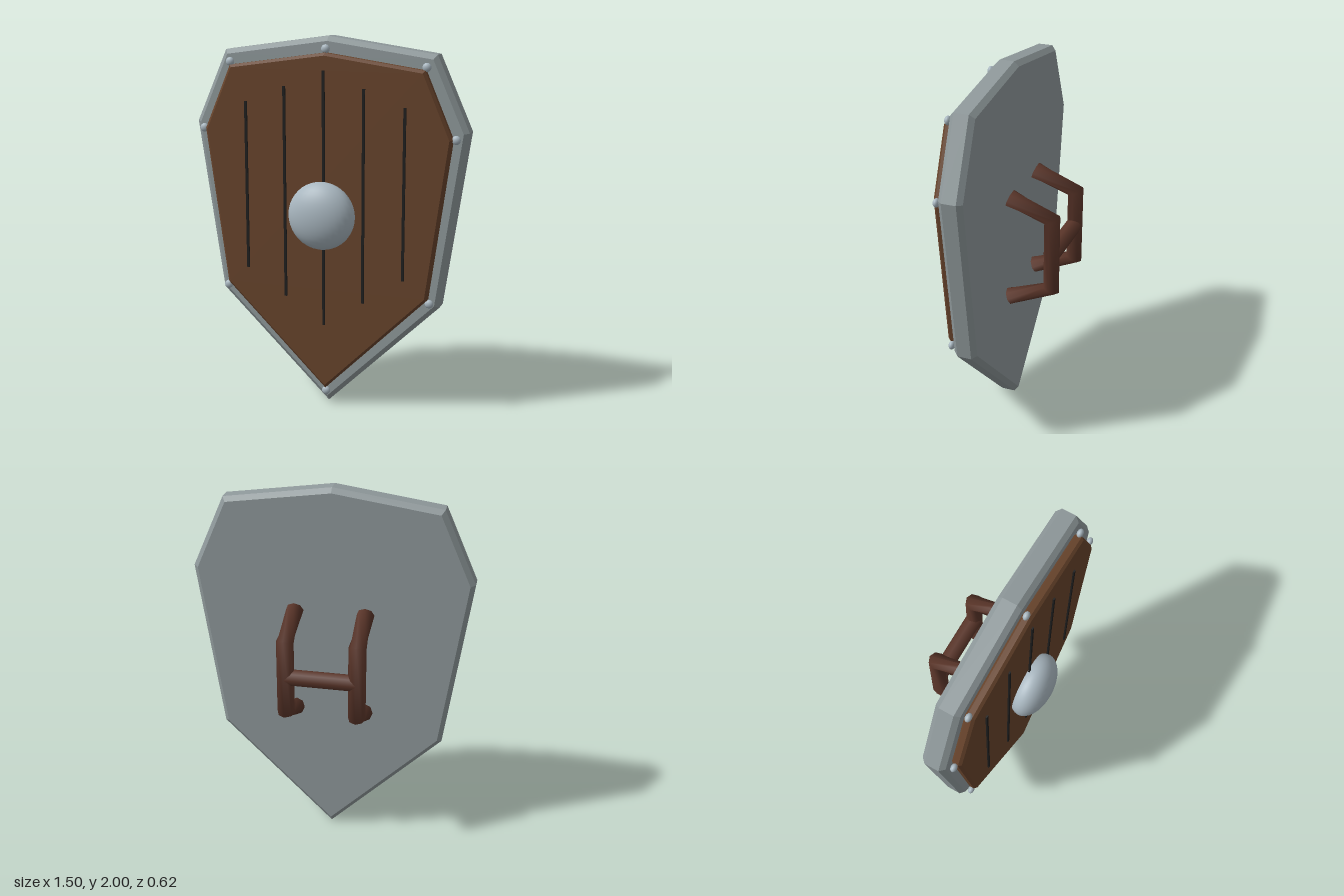
import * as THREE from 'three';

const mat = (color, extra = {}) => new THREE.MeshStandardMaterial({ color, ...extra });
const steel = mat(0x8f999b, { flatShading: true });
const polished = mat(0xa9b7c0);
const wood = mat(0x67432b, { flatShading: true });
const dark = mat(0x1e1e1e);
const leather = mat(0x5a3529);

function add(parent, name, geometry, material, x = 0, y = 0, z = 0) {
  const mesh = new THREE.Mesh(geometry, material);
  mesh.name = name;
  mesh.position.set(x, y, z);
  parent.add(mesh);
  return mesh;
}

// Mirrors a half outline (top to bottom, both ends on x = 0) into a closed loop
function mirrored(half) {
  const left = half.slice(1, -1).reverse().map(([x, y]) => [-x, y]);
  return [...half, ...left];
}

// Bevelled slab whose widest outline is the mirrored half outline
function slab(half, z0, z1, bevel) {
  const shape = new THREE.Shape(mirrored(half).map(([x, y]) => new THREE.Vector2(x, y)));
  const geometry = new THREE.ExtrudeGeometry(shape, {
    depth: z1 - z0 - 2 * bevel, bevelThickness: bevel, bevelSize: bevel,
    bevelOffset: -bevel, bevelSegments: 1,
  });
  return geometry.translate(0, 0, z0 + bevel);
}

// Bent grip: a round section at each [y, z, tilt, twist] station, closed at both ends
function grip(stations, radius, sides) {
  const position = [], index = [];
  for (const [y, z, tilt, twist] of stations) {
    for (let i = 0; i < sides; i++) {
      const a = (i / sides) * Math.PI * 2 + twist;
      const u = Math.sin(a) * radius;
      position.push(Math.cos(a) * radius, y + u * Math.sin(tilt), z + u * Math.cos(tilt));
    }
  }
  for (let s = 0; s < stations.length - 1; s++) {
    for (let i = 0; i < sides; i++) {
      const a = s * sides + i, b = s * sides + (i + 1) % sides;
      index.push(a, b, a + sides, b, b + sides, a + sides);
    }
  }
  const last = (stations.length - 1) * sides;
  for (let i = 1; i < sides - 1; i++) {
    index.push(0, i + 1, i, last, last + i, last + i + 1);
  }
  const geometry = new THREE.BufferGeometry();
  geometry.setAttribute('position', new THREE.Float32BufferAttribute(position, 3));
  geometry.setIndex(index);
  geometry.computeVertexNormals();
  return geometry;
}

export function createModel() {
  const shield = new THREE.Group();
  shield.name = 'shield';

  // Metal body and wooden face
  add(shield, 'metalBody', slab(
    [[0, 2], [0.577, 1.918], [0.75, 1.53], [0.615, 0.6], [0, 0]], -0.013, 0.114, 0.025), steel);
  add(shield, 'woodFace', slab(
    [[0, 1.918], [0.53, 1.842], [0.677, 1.5], [0.562, 0.652], [0, 0.095]], 0.11, 0.166, 0.014), wood);

  // Plank seams, shorter towards the sides
  const seams = new THREE.Group();
  seams.name = 'plankSeams';
  shield.add(seams);
  for (let i = -2; i <= 2; i++) {
    const d = Math.abs(i);
    const top = 1.83 - 0.087 * d, bottom = 0.465 + 0.143 * d;
    add(seams, 'plankSeam', new THREE.BoxGeometry(0.014, top - bottom, 0.008),
      dark, i * 0.217, (top + bottom) / 2, 0.175);
  }

  // Rivets at each corner of the rim
  const rivets = new THREE.Group();
  rivets.name = 'rivets';
  shield.add(rivets);
  const rivet = new THREE.SphereGeometry(0.023, 16, 12).scale(1, 1, 0.7);
  for (const [x, y] of mirrored([[0, 1.937], [0.534, 1.858], [0.692, 1.5], [0.57, 0.63], [0, 0.075]])) {
    add(rivets, 'rivet', rivet, polished, x, y, 0.139);
  }

  // Central boss
  add(shield, 'boss', new THREE.SphereGeometry(0.181, 32, 20).scale(1, 1, 0.575),
    polished, 0, 1.075, 0.207);

  // Handle on the back: two bent grips joined by a crossbar
  const handle = new THREE.Group();
  handle.name = 'handle';
  shield.add(handle);
  const gripGeometry = grip([
    [1.337, -0.038, -1.18, 0.8],
    [1.25, -0.269, -0.41, 0],
    [0.85, -0.269, 0.41, 0],
    [0.757, -0.038, 1.18, -0.8],
  ], 0.047, 8);
  for (const side of [-1, 1]) add(handle, 'grip', gripGeometry, leather, side * 0.19, 0, 0);
  add(handle, 'crossbar', new THREE.CylinderGeometry(0.045, 0.045, 0.38, 8).rotateZ(Math.PI / 2),
    leather, 0, 1.05, -0.267);

  return shield;
}
